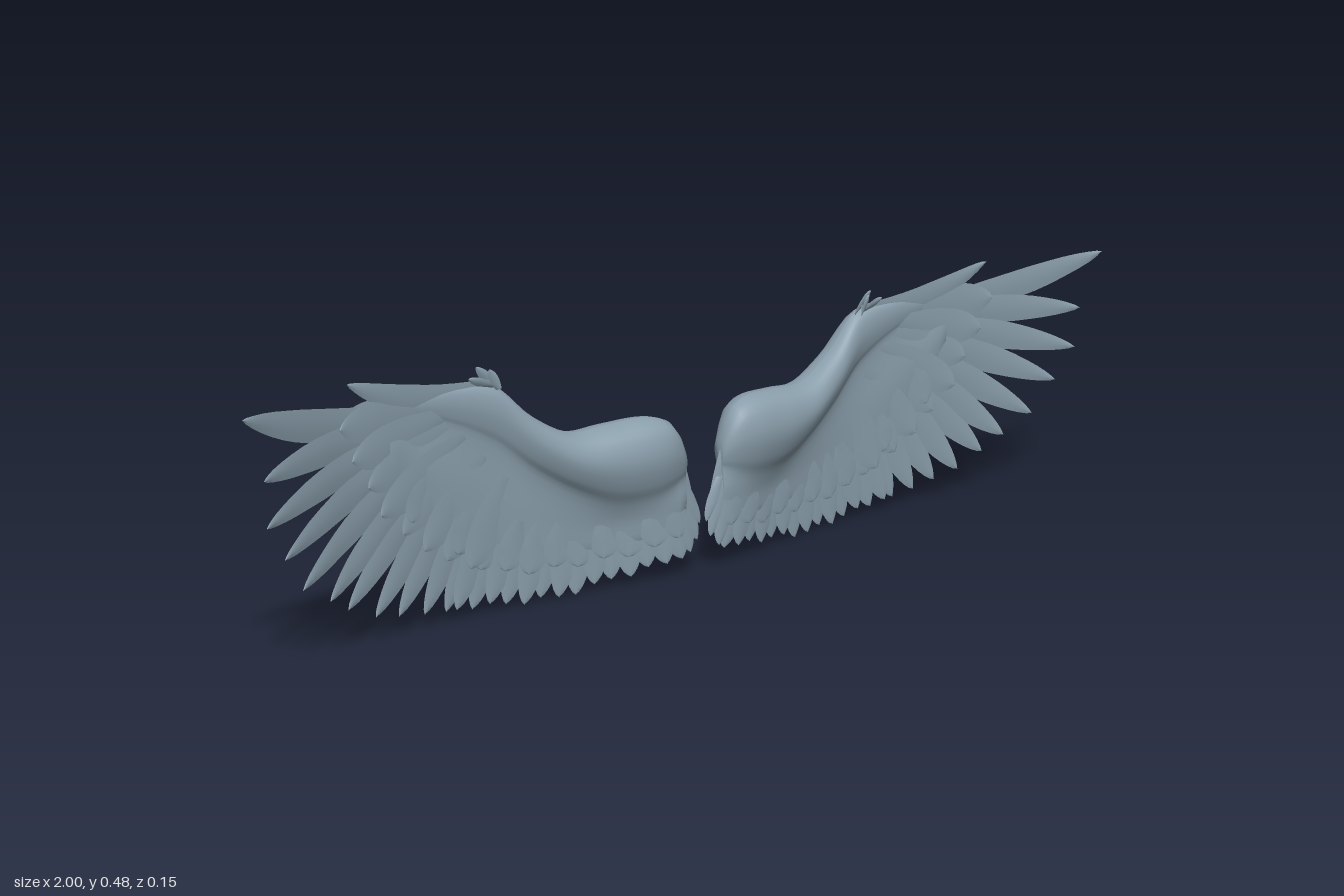
import * as THREE from 'three';
import { mergeGeometries } from 'three/addons/utils/BufferGeometryUtils.js';

// Smooth lookup in a table whose first column is x
function sample(table, x, col) {
  let i = 0;
  while (i < table.length - 2 && x > table[i + 1][0]) i++;
  const at = k => table[Math.max(0, Math.min(table.length - 1, k))];
  const u = THREE.MathUtils.clamp((x - at(i)[0]) / (at(i + 1)[0] - at(i)[0]), 0, 1);
  const [a, b, c, d] = [at(i - 1)[col], at(i)[col], at(i + 1)[col], at(i + 2)[col]];
  return b + 0.5 * u * (c - a + u * (2 * a - 5 * b + 4 * c - d + u * (3 * (b - c) + d - a)));
}

// Depth of the feather sheet along the span
const SHEET = [[0, 0.016], [0.05, 0.017], [0.1, 0.01], [0.2, -0.014], [0.3, -0.032], [0.45, -0.045],
  [0.6, -0.038], [0.75, -0.016], [0.85, 0.014], [0.93, 0.044], [1, 0.074]];

// x, top, underside of bulge, trailing edge, front z, back z, trailing z
const ARM = [
  [0.045, 0.25, 0.205, 0.12, 0.022, -0.008, 0.014],
  [0.07, 0.302, 0.20, 0.10, 0.038, -0.028, 0.014],
  [0.12, 0.32, 0.19, 0.09, 0.046, -0.055, 0.006],
  [0.20, 0.317, 0.19, 0.085, 0.038, -0.073, -0.014],
  [0.28, 0.315, 0.22, 0.085, 0.020, -0.076, -0.028],
  [0.36, 0.36, 0.27, 0.09, -0.002, -0.075, -0.04],
  [0.43, 0.425, 0.33, 0.11, -0.021, -0.070, -0.045],
  [0.52, 0.437, 0.375, 0.17, -0.030, -0.058, -0.042],
  [0.60, 0.434, 0.40, 0.24, -0.032, -0.046, -0.038],
  [0.66, 0.435, 0.415, 0.31, -0.027, -0.034, -0.030],
];

// Grid surface from fn(row, col) -> [x, y, z], mirrored when side is -1
function surface(rows, cols, side, fn) {
  const pos = [], idx = [];
  for (let i = 0; i <= rows; i++) for (let j = 0; j <= cols; j++) {
    const [x, y, z] = fn(i, j);
    pos.push(x * side, y, z);
  }
  for (let i = 0; i < rows; i++) for (let j = 0; j < cols; j++) {
    const a = i * (cols + 1) + j, b = a + 1, c = a + cols + 1, d = c + 1;
    if (side > 0) idx.push(a, c, b, b, c, d);
    else idx.push(a, b, c, b, d, c);
  }
  const g = new THREE.BufferGeometry();
  g.setAttribute('position', new THREE.Float32BufferAttribute(pos, 3));
  g.setIndex(idx);
  g.computeVertexNormals();
  return g;
}

// Thin cupped feather from base to tip that follows the sheet depth
function feather(side, [bx, by], [tx, ty], width, { off = 0, bow = 0, point = 2 } = {}) {
  const len = Math.hypot(tx - bx, ty - by);
  const nx = -(ty - by) / len, ny = (tx - bx) / len;
  return surface(12, 4, side, (i, j) => {
    const t = 1 - (1 - i / 12) ** 1.5, v = j / 2 - 1;
    const u = Math.max(0, (t - 0.55) / 0.45);
    const grow = 0.5 + 0.5 * Math.sin(Math.PI / 2 * Math.min(1, t / 0.55));
    const w = 0.5 * width * grow * Math.pow(1 - Math.pow(u, point), 0.7) * v;
    const b = bow * Math.sin(Math.PI * t);
    const x = bx + (tx - bx) * t + nx * (w + b);
    const y = by + (ty - by) * t + ny * (w + b);
    return [x, y, sample(SHEET, x, 1) + off + 0.003 * v * (1 - u) - 0.002 * v * v];
  });
}

// Padded arm whose section is a bulge tapering to a thin trailing edge
function armGeometry(side) {
  const rows = 36, cols = 40, x0 = ARM[0][0], x1 = ARM[ARM.length - 1][0];
  const sections = [];
  for (let i = 0; i <= rows; i++) {
    const x = x0 + (x1 - x0) * i / rows;
    const [top, under, trail, zf, zb, zt] = [1, 2, 3, 4, 5, 6].map(c => sample(ARM, x, c));
    const h = top - under, zm = (zf + zb) / 2, lerp = THREE.MathUtils.lerp;
    const loop = new THREE.CatmullRomCurve3([
      [top, zm], [top - 0.13 * h, lerp(zm, zf, 0.7)], [top - 0.5 * h, zf],
      [under + 0.1 * h, lerp(zf, zt, 0.25)], [under - 0.14 * h, lerp(zf, zt, 0.6)],
      [lerp(under, trail, 0.55), zt + 0.007], [trail, zt],
      [lerp(under, trail, 0.6), lerp(zb, zt, 0.68) - 0.004],
      [under, lerp(zb, zt, 0.22)], [top - 0.45 * h, zb], [top - 0.1 * h, lerp(zm, zb, 0.7)],
    ].map(([y, z]) => new THREE.Vector3(x, y, z)), true, 'centripetal');
    sections.push(loop.getPoints(cols));
  }
  // Collapsed end sections close the shell
  for (const [k, end] of [[0, sections[0]], [1, sections[rows]]]) {
    const c = end.slice(0, cols).reduce((s, p) => s.add(p), new THREE.Vector3()).divideScalar(cols);
    const ring = end.map(() => c);
    if (k) sections.push(ring); else sections.unshift(ring);
  }
  return surface(rows + 2, cols, side, (i, j) => sections[i][j].toArray());
}

// Tips of the flight feathers, from the wing tip inwards
const PRIMARIES = [[1, 0.485], [0.957, 0.372], [0.952, 0.29], [0.912, 0.225], [0.868, 0.158],
  [0.805, 0.12], [0.76, 0.09], [0.70, 0.062], [0.645, 0.048], [0.59, 0.038], [0.54, 0.03]];
const SECONDARY_TIPS = [[0.05, 0.04], [0.1, 0.03], [0.2, 0.018], [0.28, 0.004], [0.4, 0.01], [0.52, 0.025]];
const COVERT_TIPS = [[0.77, 0.41], [0.745, 0.35], [0.71, 0.295], [0.685, 0.24], [0.635, 0.195],
  [0.59, 0.155], [0.54, 0.125], [0.49, 0.1]];

function buildWing(side, material) {
  const wing = new THREE.Group();
  wing.name = side > 0 ? 'leftWing' : 'rightWing';
  const add = (name, geometries) => {
    const mesh = new THREE.Mesh(mergeGeometries(geometries), material);
    mesh.name = name;
    wing.add(mesh);
  };

  add('arm', [armGeometry(side)]);

  // Long fanned primaries
  add('primaryFeathers', PRIMARIES.map((tip, i) => {
    const f = i / (PRIMARIES.length - 1);
    return feather(side, [0.60 - 0.18 * f, 0.405 - 0.14 * f], tip, 0.058,
      { off: (i % 2) * 0.003 - 0.001, bow: i ? 0.004 : -0.02, point: i < 5 ? 1.7 : 2 });
  }));

  // Secondaries along the lower edge
  const secondaries = [];
  for (let i = 0; i < 14; i++) {
    const x = 0.05 + 0.036 * i;
    const y = sample(SECONDARY_TIPS, x, 1) + (i % 3) * 0.004;
    secondaries.push(feather(side, [0.065 + x * 0.68, 0.2 + 0.1 * x], [x, y], 0.058,
      { off: (i % 2) * 0.003 - 0.0015, point: 2.6 }));
  }
  add('secondaryFeathers', secondaries);

  // Coverts on both faces, over the primaries and along the trailing edge
  for (const [name, off] of [['frontCoverts', 0.005], ['backCoverts', -0.006]]) {
    const parts = COVERT_TIPS.map((tip, i) => feather(side,
      [0.56 - 0.022 * i, 0.405 - 0.022 * i], tip, 0.074, { off: off + (i % 2) * 0.002, point: 2.6 }));
    for (let i = 0; i < 12; i++) {
      const x = 0.06 + 0.048 * i;
      const y = sample(ARM, x, 3);
      parts.push(feather(side, [x * 0.94 + 0.008, y + 0.07], [x * 1.05, y - 0.025 + (i % 2) * 0.008],
        0.062, { off: off * 0.8 + (i % 2) * 0.002, point: 3 }));
    }
    add(name, parts);
  }

  // Small feathers at the root
  add('rootFeathers', [
    [[0.055, 0.235], [0.026, 0.09], 0.034], [[0.04, 0.18], [0.008, 0.10], 0.022],
    [[0.05, 0.18], [0.016, 0.07], 0.028], [[0.06, 0.19], [0.034, 0.05], 0.036],
  ].map(([b, t, w], i) => feather(side, b, t, w, { off: 0.002 * i - 0.004, point: 2.6 })));

  // Pointed feathers on the leading edge
  add('alulaFeathers', [
    feather(side, [0.44, 0.425], [0.752, 0.485], 0.052, { bow: -0.026, off: 0.008, point: 1.4 }),
    feather(side, [0.44, 0.405], [0.72, 0.435], 0.056, { off: 0.004, point: 1.8 }),
    feather(side, [0.46, 0.39], [0.75, 0.42], 0.06, { off: -0.004, point: 1.8 }),
  ]);

  // Little tuft at the wrist
  add('wristTuft', [
    feather(side, [0.425, 0.42], [0.468, 0.462], 0.018, { off: 0.006 }),
    feather(side, [0.435, 0.425], [0.49, 0.446], 0.016, { off: 0.014 }),
    feather(side, [0.43, 0.42], [0.45, 0.458], 0.016, { off: 0.02 }),
  ]);
  return wing;
}

export function createModel() {
  const model = new THREE.Group();
  model.name = 'wingPair';
  const material = new THREE.MeshStandardMaterial({ color: 0x8a9eab, side: THREE.DoubleSide });
  material.name = 'blueGreyPlumage';
  model.add(buildWing(1, material), buildWing(-1, material));
  return model;
}
